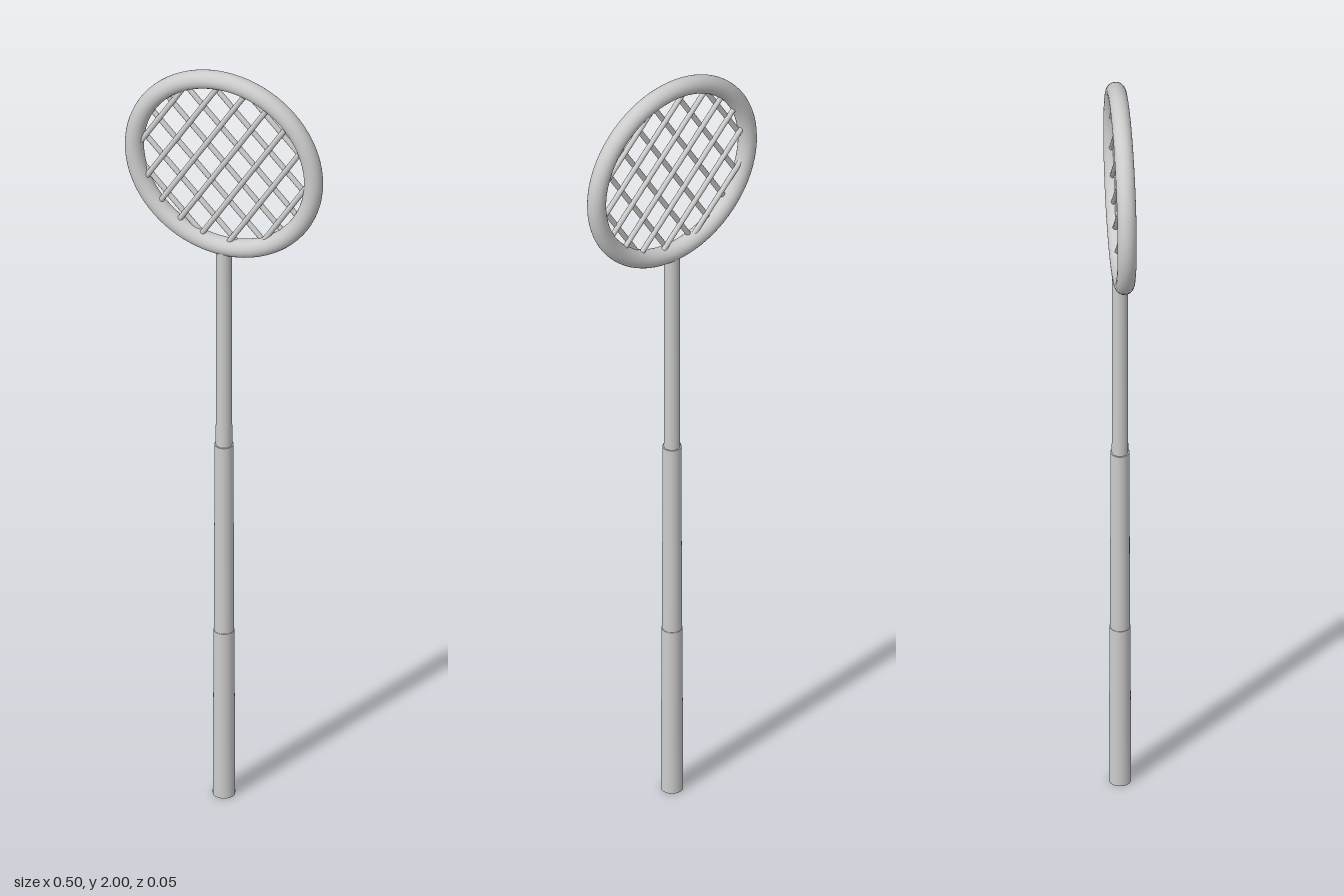
import * as THREE from 'three';

export function createModel() {
  const group = new THREE.Group();
  const material = new THREE.MeshStandardMaterial({ color: 0xcccccc });
  const add = (name, geometry, parent = group) => {
    const mesh = new THREE.Mesh(geometry, material);
    mesh.name = name;
    parent.add(mesh);
    return mesh;
  };

  // Telescoping pole: name, bottom y, top y, bottom radius, top radius
  const sections = [
    ['handle', 0, 0.455, 0.0265, 0.0245],
    ['middlePole', 0.455, 0.97, 0.0235, 0.0225],
    ['upperPole', 0.97, 1.515, 0.0195, 0.0185],
  ];
  for (const [name, y0, y1, r0, r1] of sections) {
    add(name, new THREE.CylinderGeometry(r1, r0, y1 - y0, 32)).position.y = (y0 + y1) / 2;
  }

  // Round head frame
  const head = new THREE.Group();
  head.name = 'head';
  head.position.y = 1.749;
  group.add(head);
  const ringRadius = 0.2285;
  add('headRing', new THREE.TorusGeometry(ringRadius, 0.0225, 24, 80), head);

  // Two crossing layers of net cords, each cut to the chord of the ring
  const spacing = 0.062;
  for (const [name, degrees, z] of [['risingCord', 58, 0.004], ['fallingCord', -46, -0.004]]) {
    const layer = new THREE.Group();
    layer.name = name + 'Layer';
    layer.position.z = z;
    layer.rotation.z = THREE.MathUtils.degToRad(degrees - 90);
    head.add(layer);
    for (let i = -3; i <= 3; i++) {
      const x = i * spacing;
      const length = 2 * Math.sqrt(ringRadius ** 2 - x ** 2);
      add(name, new THREE.CylinderGeometry(0.0065, 0.0065, length, 12), layer).position.x = x;
    }
  }
  return group;
}
